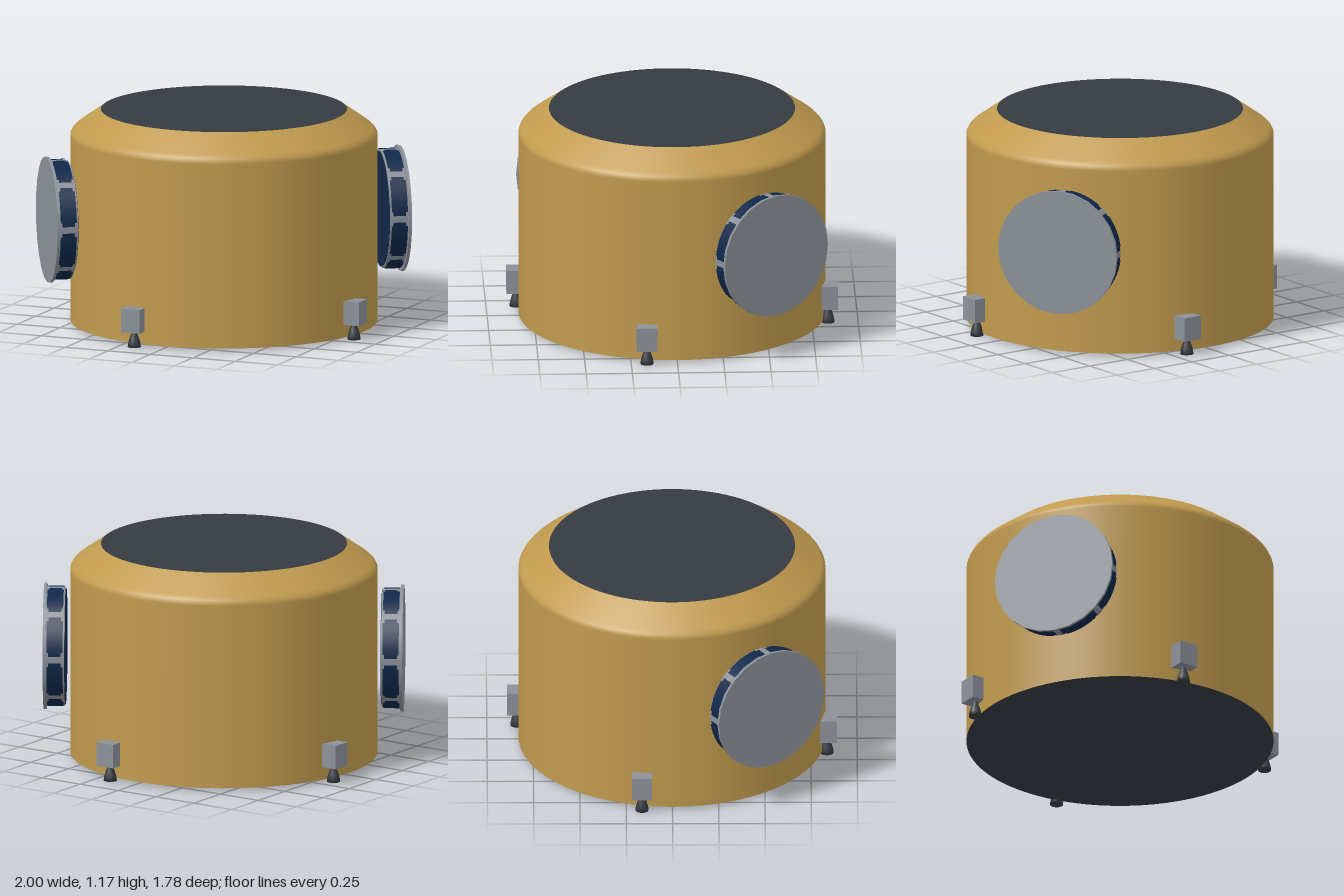
import * as THREE from 'three';

const paint = (name, color, side = THREE.FrontSide) => {
  const m = new THREE.MeshStandardMaterial({ color, side });
  m.name = name;
  return m;
};

export function createModel() {
  const gold = paint('gold foil', 0xc09a4e);
  const dark = paint('dark panel', 0x363b42);
  const grey = paint('light grey metal', 0x8c9199);
  const blue = paint('solar blue', 0x10284a, THREE.DoubleSide);
  const model = new THREE.Group();

  const add = (parent, name, geometry, material, x = 0, y = 0, z = 0) => {
    const mesh = new THREE.Mesh(geometry, material);
    mesh.name = name;
    mesh.position.set(x, y, z);
    parent.add(mesh);
    return mesh;
  };
  const lathe = (points, sides) =>
    new THREE.LatheGeometry(points.map(p => new THREE.Vector2(...p)), sides);

  // Drum body with softly rounded shoulder
  add(model, 'body', lathe([[0.83, 0.015], [0.83, 1.03], [0.829, 1.042], [0.822, 1.057],
    [0.805, 1.075], [0.665, 1.174]], 96), gold);
  add(model, 'topDeck', new THREE.CircleGeometry(0.665, 96), dark, 0, 1.174).rotation.x = -Math.PI / 2;
  add(model, 'baseDeck', new THREE.CircleGeometry(0.83, 96), dark, 0, 0.015).rotation.x = Math.PI / 2;

  // Four thruster blocks, each with a bell nozzle
  const bell = lathe([[0, 0.004], [0.036, 0], [0.033, 0.025], [0.024, 0.055], [0.013, 0.08], [0.013, 0.1]], 12);
  for (let i = 0; i < 4; i++) {
    const thruster = new THREE.Group();
    thruster.name = 'thruster';
    thruster.rotation.y = i * Math.PI / 2;
    add(thruster, 'thrusterBlock', new THREE.BoxGeometry(0.11, 0.13, 0.09), grey, -0.165, 0.15, 0.845);
    add(thruster, 'nozzle', bell, dark, -0.165, 0, 0.837);
    model.add(thruster);
  }

  // Two folded round solar arrays on opposite sides
  for (const s of [1, -1]) {
    const array = new THREE.Group();
    array.name = 'solarArray';
    array.position.set(0.811 * s, 0.597, -0.536 * s);
    array.rotation.y = Math.atan2(0.834 * s, -0.551 * s);

    // Local +z points outward from the body
    const disc = (name, r, depth, z, material) =>
      add(array, name, new THREE.CylinderGeometry(r, r, depth, 24), material, 0, 0, z).rotation.x = Math.PI / 2;
    disc('coverPlate', 0.342, 0.016, -0.008, grey);
    disc('arrayDrum', 0.322, 0.1, -0.066, grey);
    disc('innerPanel', 0.314, 0.004, -0.117, blue);

    // Blue rim cells with clipped corners, separated by grey ribs
    for (let i = 0; i < 8; i++) {
      for (const [gap, height] of [[0.055, 0.068], [0.12, 0.088]]) {
        const cell = new THREE.CylinderGeometry(0.326, 0.326, height, 6, 1, true,
          i * Math.PI / 4 + gap, Math.PI / 4 - 2 * gap);
        add(array, 'rimCell', cell, blue, 0, 0, -0.064).rotation.x = Math.PI / 2;
      }
    }
    model.add(array);
  }
  return model;
}
